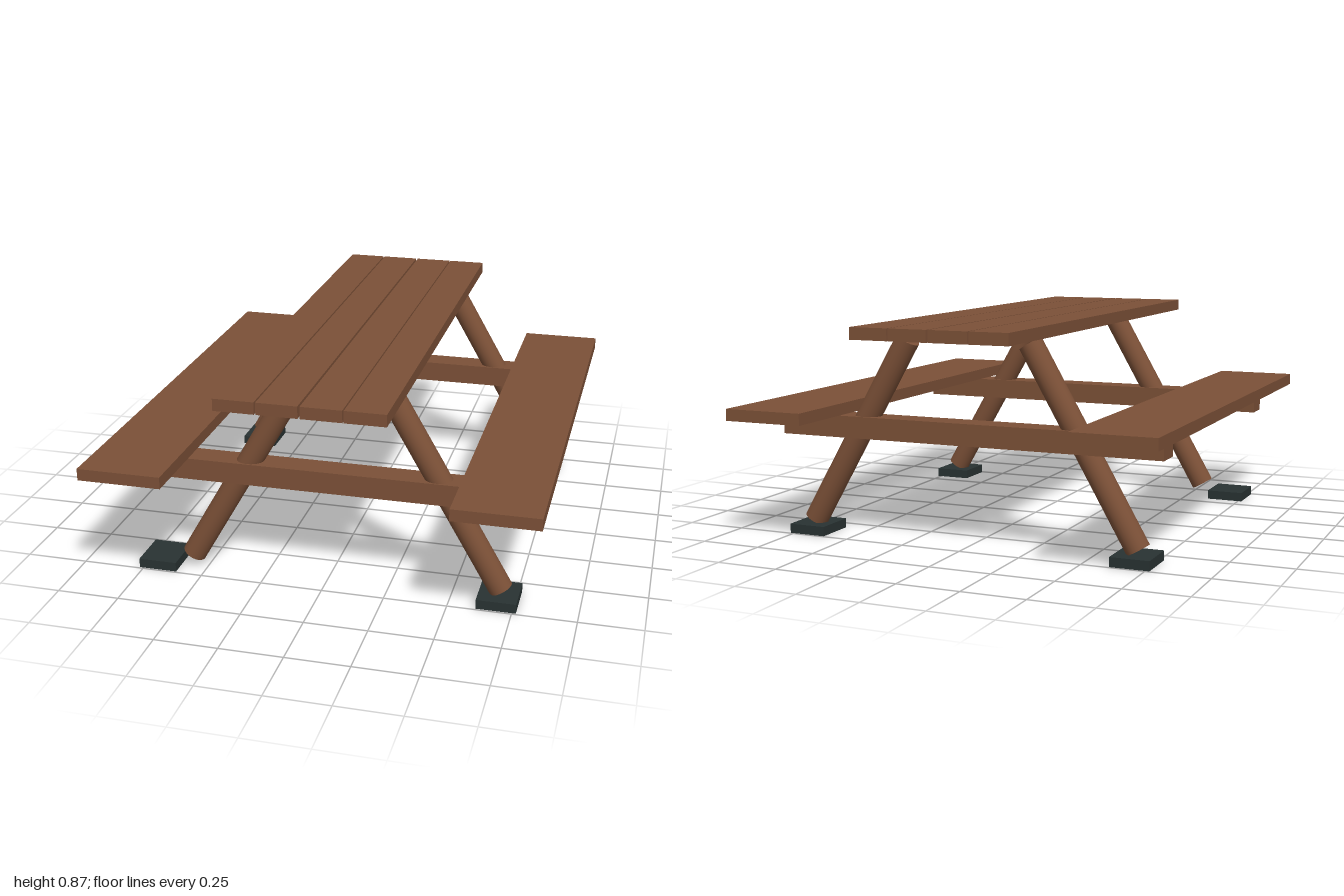
import * as THREE from 'three';

export function createModel() {
  const model = new THREE.Group();
  model.name = 'picnicTable';

  const wood = new THREE.MeshStandardMaterial({ color: 0x7b5037 });
  wood.name = 'brown wood';
  const rubber = new THREE.MeshStandardMaterial({ color: 0x283232 });
  rubber.name = 'dark footing';

  const add = (name, geometry, material, x, y, z) => {
    const mesh = new THREE.Mesh(geometry, material);
    mesh.name = name;
    mesh.position.set(x, y, z);
    model.add(mesh);
    return mesh;
  };

  // Table top: four long planks with narrow gaps
  const plank = new THREE.BoxGeometry(0.156, 0.047, 2);
  [-0.246, -0.084, 0.08, 0.241].forEach((x, i) =>
    add(`topPlank${i + 1}`, plank, wood, x, 0.849, 0));

  const seat = new THREE.BoxGeometry(0.331, 0.047, 2);
  const beam = new THREE.BoxGeometry(1.61, 0.087, 0.108);
  const leg = new THREE.CylinderGeometry(0.048, 0.048, 0.866, 24);
  const pad = new THREE.BoxGeometry(0.156, 0.038, 0.174);

  // Benches on both sides
  for (const [side, sx] of [['left', 1], ['right', -1]]) {
    add(`${side}Seat`, seat, wood, sx * 0.7115, 0.5135, 0);
  }

  // Two end frames: cross beam, slanted round legs and foot pads
  for (const [end, sz] of [['front', 1], ['back', -1]]) {
    const z = sz * 0.656;
    add(`${end}CrossBeam`, beam, wood, 0, 0.4465, z);
    for (const [side, sx] of [['Left', 1], ['Right', -1]]) {
      // The front right leg stands inward of its pad
      const shift = sz > 0 && sx < 0 ? 0.135 : 0;
      const post = add(`${end}${side}Leg`, leg, wood, sx * 0.477 + shift, 0.427, z);
      post.rotation.z = sx * Math.PI / 6;
      add(`${end}${side}FootPad`, pad, rubber, sx * 0.688, 0.019, z);
    }
  }
  return model;
}
